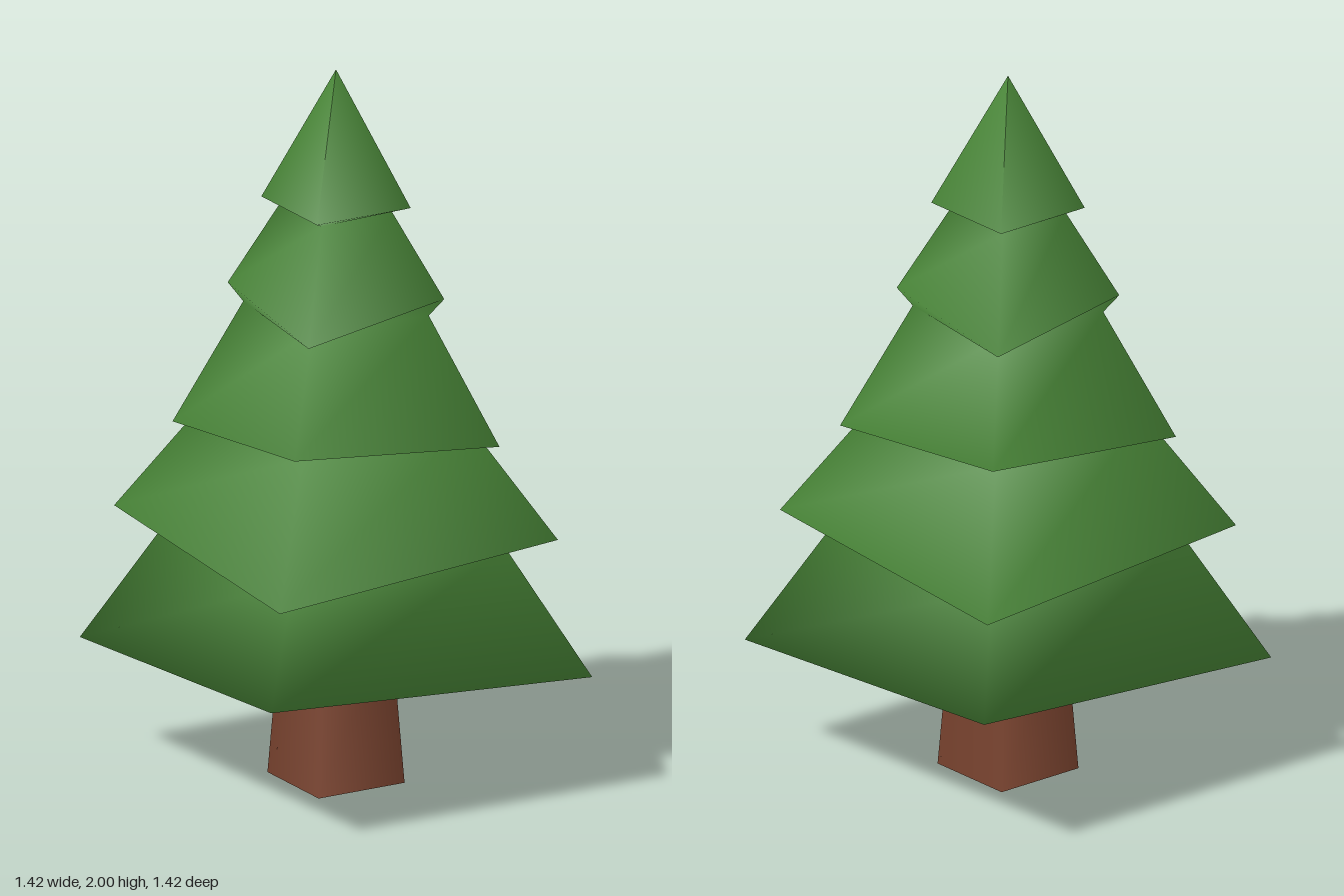
import * as THREE from 'three';

const leafGreen = new THREE.MeshStandardMaterial({ color: 0x4b8a39 });
leafGreen.name = 'leaf green';
const barkBrown = new THREE.MeshStandardMaterial({ color: 0x7d4530 });
barkBrown.name = 'bark brown';

// Four-cornered rings [radius, height of x corners, height of z corners],
// from the underside at the trunk up to the tip.
const rings = [
  [0.155, 0.42, 0.42],
  [0.71, 0.34, 0.405], // lowest tier rim
  [0.47, 0.685, 0.695],
  [0.615, 0.72, 0.655], // second rim
  [0.365, 1.03, 1.015],
  [0.453, 0.97, 1.035], // third rim
  [0.257, 1.325, 1.34],
  [0.3, 1.375, 1.305], // fourth rim
  [0.155, 1.61, 1.605],
  [0.207, 1.625, 1.625], // top rim
  [0, 2, 2],
];

// Joins successive rings into one softly shaded skin.
function ringSkin(list) {
  const positions = [];
  const index = [];
  list.forEach(([r, yx, yz], k) => {
    for (let i = 0; i < 4; i++) {
      const a = (i * Math.PI) / 2;
      positions.push(r * Math.sin(a), i % 2 ? yx : yz, r * Math.cos(a));
      if (k === list.length - 1) continue;
      const j = (i + 1) % 4;
      const [p, q, s, t] = [k * 4 + i, k * 4 + j, k * 4 + 4 + j, k * 4 + 4 + i];
      index.push(p, q, s);
      if (list[k + 1][0] > 0) index.push(p, s, t);
    }
  });
  const geometry = new THREE.BufferGeometry();
  geometry.setAttribute('position', new THREE.Float32BufferAttribute(positions, 3));
  geometry.setIndex(index);
  geometry.computeVertexNormals();
  return geometry;
}

export function createModel() {
  const tree = new THREE.Group();
  tree.name = 'pineTree';

  // Tiered branches
  const foliage = new THREE.Mesh(ringSkin(rings), leafGreen);
  foliage.name = 'foliage';
  tree.add(foliage);

  // Tapered square trunk, corners on the axes
  const trunk = new THREE.Mesh(new THREE.CylinderGeometry(0.152, 0.19, 0.44, 4), barkBrown);
  trunk.name = 'trunk';
  trunk.position.y = 0.22;
  tree.add(trunk);

  return tree;
}
